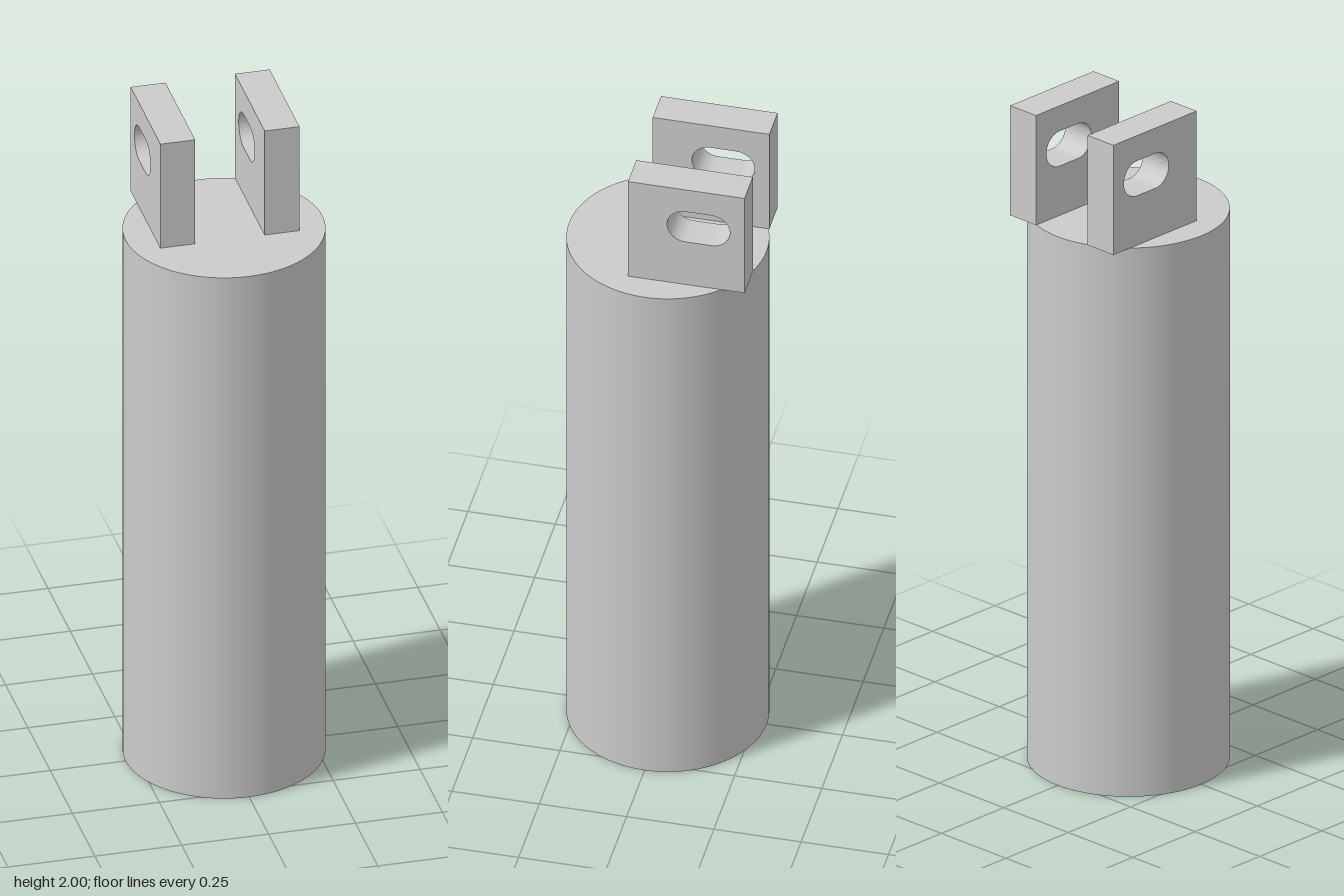
import * as THREE from 'three';
import { toCreasedNormals } from 'three/addons/utils/BufferGeometryUtils.js';

const RADIUS = 0.283, BODY_TOP = 1.667, TOP = 2;
const LUG_BACK = -0.267, LUG_FRONT = 0.067, LUG_INNER = 0.1, LUG_WIDTH = 0.1;
const SLOT = { z: -0.135, y: 1.87, r: 0.053, half: 0.037 };

// Side profile of a lug: shape x is model z, shape y is model y
function lugGeometry() {
  const shape = new THREE.Shape();
  shape.moveTo(LUG_BACK, BODY_TOP);
  shape.lineTo(LUG_FRONT, BODY_TOP);
  shape.lineTo(LUG_FRONT, TOP);
  shape.lineTo(LUG_BACK, TOP);
  shape.closePath();

  // Round-ended slot
  const slot = new THREE.Path();
  slot.absarc(SLOT.z + SLOT.half, SLOT.y, SLOT.r, -Math.PI / 2, Math.PI / 2, false);
  slot.absarc(SLOT.z - SLOT.half, SLOT.y, SLOT.r, Math.PI / 2, Math.PI * 1.5, false);
  slot.closePath();
  shape.holes.push(slot);

  const geometry = new THREE.ExtrudeGeometry(shape, {
    depth: LUG_WIDTH, bevelEnabled: false, curveSegments: 20,
  });
  geometry.translate(0, 0, -LUG_WIDTH / 2).rotateY(-Math.PI / 2);
  return toCreasedNormals(geometry, Math.PI / 6);
}

export function createModel() {
  const group = new THREE.Group();
  const material = new THREE.MeshStandardMaterial({ color: 0xcccccc });

  // Solid cylindrical body
  const body = new THREE.Mesh(new THREE.CylinderGeometry(RADIUS, RADIUS, BODY_TOP, 96), material);
  body.name = 'body';
  body.position.y = BODY_TOP / 2;
  group.add(body);

  // Pair of slotted lugs, overhanging the back of the body
  const geometry = lugGeometry();
  for (const side of [1, -1]) {
    const lug = new THREE.Mesh(geometry, material);
    lug.name = side > 0 ? 'leftLug' : 'rightLug';
    lug.position.x = side * (LUG_INNER + LUG_WIDTH / 2);
    group.add(lug);
  }
  return group;
}
